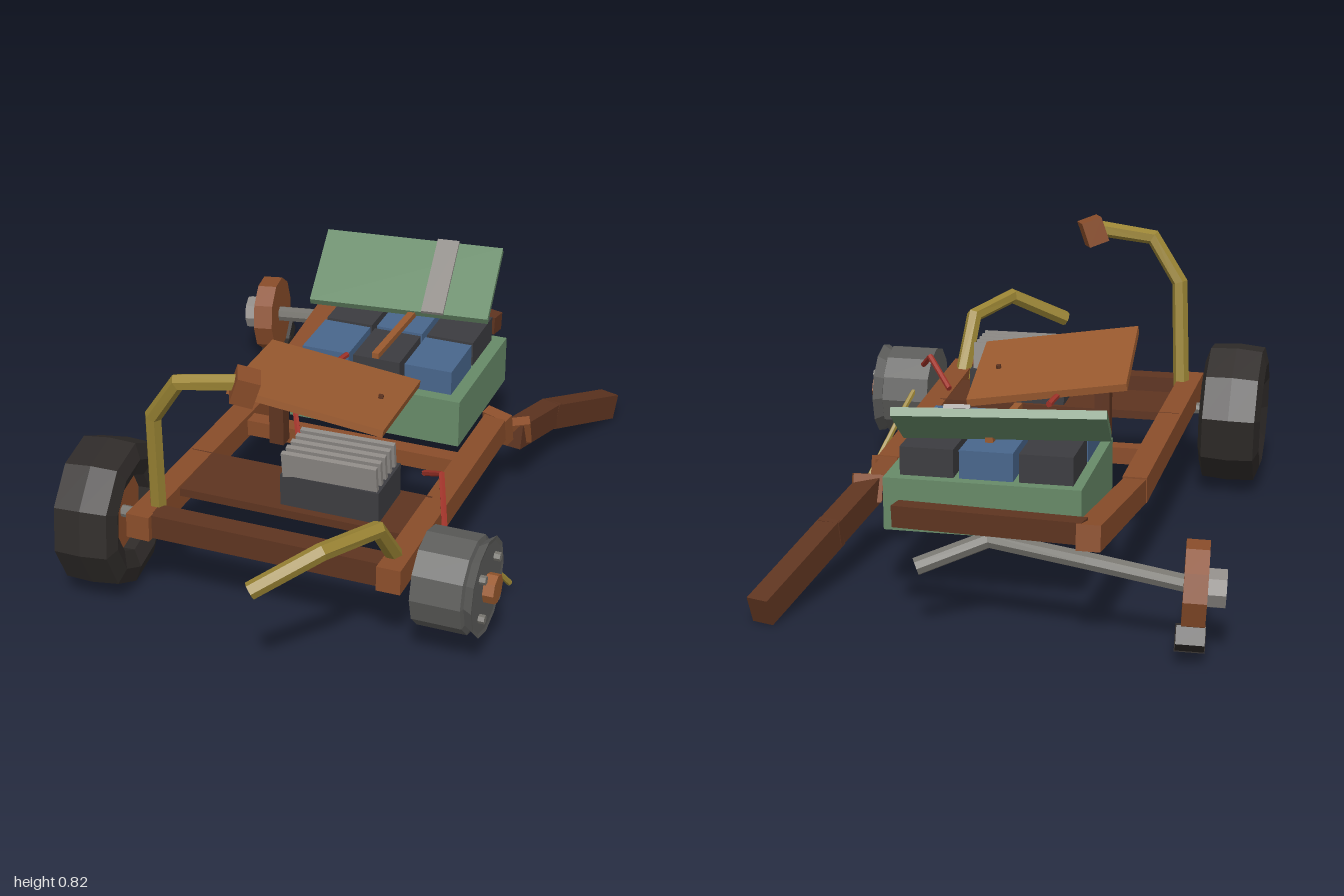
import * as THREE from 'three';
import { mergeGeometries } from 'three/addons/utils/BufferGeometryUtils.js';

const C = {
  wood: 0x8a4d2a, darkWood: 0x5e3420, plank: 0x9a5a2f, rubber: 0x2f2b29, iron: 0x5c5c5a, steel: 0x76746e,
  light: 0x8e8a86, gold: 0x9a8434, green: 0x678a68, blue: 0x48668c, dark: 0x3c3c40, red: 0xa03329,
};
const V = (p) => new THREE.Vector3(...p);

export function createModel() {
  const root = new THREE.Group();
  root.name = 'wreckedCart';
  const mats = {};
  const mat = (c) => (mats[c] ??= new THREE.MeshStandardMaterial({ color: C[c], flatShading: true, side: THREE.DoubleSide }));

  const add = (name, geo, color, pos = [0, 0, 0], rot = [0, 0, 0], parent = root) => {
    const m = new THREE.Mesh(geo, mat(color));
    m.name = name;
    m.position.set(...pos);
    m.rotation.set(...rot);
    parent.add(m);
    return m;
  };
  const box = (name, size, color, pos, rot, parent) =>
    add(name, new THREE.BoxGeometry(...size), color, pos, rot, parent);

  // Rectangular bar between two points
  const beam = (name, a, b, w, h, color) => {
    const p = V(a), q = V(b);
    const m = box(name, [w, h, p.distanceTo(q)], color, p.clone().add(q).multiplyScalar(0.5).toArray());
    m.lookAt(q);
    return m;
  };

  // Bent pipe with mitred corners and closed ends
  const pipe = (name, points, r, color, sides = 6) => {
    const pts = points.map(V), n = pts.length - 1;
    const dir = (i) => pts[i + 1].clone().sub(pts[i]).normalize();
    const at = (u) => Math.round(u * n);
    const curve = new THREE.Curve();
    curve.getPointAt = (u) => pts[at(u)].clone();
    curve.getTangentAt = (u) => {
      const i = at(u);
      return dir(Math.max(i - 1, 0)).add(dir(Math.min(i, n - 1))).normalize();
    };
    const tube = new THREE.TubeGeometry(curve, n, r, sides);
    const caps = [[pts[0], dir(0).negate()], [pts[n], dir(n - 1)]].map(([p, d]) => {
      const g = new THREE.CircleGeometry(r, sides);
      g.applyQuaternion(new THREE.Quaternion().setFromUnitVectors(new THREE.Vector3(0, 0, 1), d));
      return g.translate(p.x, p.y, p.z);
    });
    return add(name, mergeGeometries([tube, ...caps]), color);
  };

  // Disc or turned part whose axis runs along x; profile is [radius, x]
  const turned = (name, profile, sides, color, pos, rot, parent) => {
    const g = new THREE.LatheGeometry(profile.map((p) => new THREE.Vector2(...p)), sides);
    return add(name, g.rotateZ(-Math.PI / 2), color, pos, rot, parent);
  };
  const disc = (name, r, w, sides, color, pos, rot, parent) =>
    turned(name, [[0, -w / 2], [r, -w / 2], [r, w / 2], [0, w / 2]], sides, color, pos, rot, parent);

  // Frame: left and right named from the model's own side
  beam('rightRail', [-0.352, 0.288, 0.66], [-0.335, 0.257, -0.33], 0.07, 0.075, 'wood');
  beam('rightRailRear', [-0.335, 0.25, -0.3], [-0.325, 0.34, -0.97], 0.065, 0.07, 'wood');
  beam('leftRail', [0.395, 0.288, 0.66], [0.388, 0.257, -0.32], 0.07, 0.075, 'wood');
  beam('brokenRail', [0.43, 0.215, -0.34], [0.475, 0.165, -0.61], 0.065, 0.075, 'darkWood');
  beam('brokenRailTip', [0.472, 0.168, -0.59], [0.575, 0.05, -0.93], 0.065, 0.08, 'darkWood');
  box('railSplinter', [0.085, 0.1, 0.035], 'wood', [0.39, 0.252, -0.32], [0.25, -0.3, 0]);
  box('railSplinter', [0.085, 0.08, 0.035], 'wood', [0.437, 0.22, -0.365], [0.3, 0.4, 0]);
  box('frontCrossbar', [0.68, 0.073, 0.065], 'darkWood', [0.02, 0.288, 0.61]);
  box('middleCrossbar', [0.7, 0.05, 0.05], 'wood', [0.02, 0.265, -0.035]);
  beam('rearCrossbar', [-0.31, 0.345, -0.935], [0.22, 0.322, -0.84], 0.05, 0.06, 'darkWood');
  box('floorBoard', [0.75, 0.025, 0.22], 'darkWood', [0, 0.3, 0.35]);

  // Seat
  box('seatPost', [0.045, 0.2, 0.045], 'darkWood', [-0.172, 0.385, 0.06]);
  box('seat', [0.47, 0.022, 0.43], 'plank', [-0.025, 0.495, 0.057], [-0.14, 0.09, -0.13]);
  add('seatPeg', new THREE.CylinderGeometry(0.008, 0.008, 0.035, 6), 'darkWood', [0.14, 0.475, 0.04], [-0.14, 0, -0.13]);

  // Engine with cooling fins
  box('engineBlock', [0.295, 0.1, 0.18], 'dark', [0.135, 0.36, 0.345]);
  for (let i = 0; i < 5; i++)
    box('coolingFin', [0.28, 0.085, 0.016], 'light', [0.135, 0.445, 0.285 + i * 0.036], [0.15, 0.03, 0]);

  // Front axle, tyre and bare drum
  beam('frontAxle', [-0.5, 0.245, 0.53], [0.48, 0.245, 0.53], 0.001, 0.001, 'steel').geometry =
    new THREE.CylinderGeometry(0.018, 0.018, 0.98, 8).rotateX(Math.PI / 2);
  const wheel = new THREE.Group();
  wheel.name = 'tyreWheel';
  wheel.position.set(-0.503, 0.242, 0.53);
  wheel.rotation.set(0.15, 0.04, 0.03);
  root.add(wheel);
  turned('tyre', [[0.115, -0.075], [0.165, -0.095], [0.212, -0.08], [0.218, 0], [0.212, 0.08],
    [0.165, 0.095], [0.115, 0.075], [0.115, -0.075]], 10, 'rubber', undefined, undefined, wheel);
  disc('rim', 0.118, 0.08, 10, 'wood', undefined, undefined, wheel);

  const drum = new THREE.Group();
  drum.name = 'brakeDrum';
  drum.position.set(0.46, 0.25, 0.535);
  root.add(drum);
  turned('drumBody', [[0, 0], [0.14, 0], [0.14, 0.145], [0.125, 0.15], [0.143, 0.177], [0.13, 0.175], [0, 0.175]],
    12, 'iron', undefined, undefined, drum);
  disc('drumHub', 0.043, 0.05, 8, 'plank', [0.182, 0, 0], undefined, drum);
  for (const y of [-1, 1]) for (const z of [-1, 1])
    disc('wheelBolt', 0.013, 0.03, 6, 'steel', [0.178, y * 0.063, z * 0.063], undefined, drum);

  // Rear wheel with scraps of tyre, on a bent axle
  const rear = new THREE.Group();
  rear.name = 'rearWheel';
  rear.position.set(-0.59, 0.195, -0.878);
  rear.rotation.set(0, 0.13, 0.05);
  root.add(rear);
  disc('rearRim', 0.122, 0.062, 10, 'wood', undefined, undefined, rear);
  disc('rearHub', 0.054, 0.06, 8, 'light', [-0.05, 0, 0], undefined, rear);
  box('tyreScrap', [0.08, 0.05, 0.09], 'rubber', [0.005, -0.14, -0.01], [0.1, 0, 0], rear);
  box('tyreScrap', [0.075, 0.05, 0.08], 'rubber', [0.005, -0.115, -0.075], [0.6, 0, 0], rear);
  pipe('rearAxle', [[-0.6, 0.195, -0.875], [-0.3, 0.235, -0.855], [-0.03, 0.265, -0.83], [0.15, 0.2, -0.9]], 0.025, 'steel', 8);

  // Battery box, cells and torn-off lid
  box('batteryBox', [0.55, 0.15, 0.465], 'green', [0.025, 0.291, -0.443], [-0.01, 0, 0]);
  for (let r = 0; r < 2; r++) for (let c = 0; c < 3; c++)
    box('batteryCell', [0.15, 0.085, 0.19], (r + c) % 2 ? 'dark' : 'blue', [-0.147 + c * 0.166, 0.402, -0.345 - r * 0.205]);
  box('batteryClamp', [0.022, 0.018, 0.33], 'plank', [0.022, 0.457, -0.41], [0, -0.03, 0]);
  const lid = new THREE.Group();
  lid.name = 'batteryLid';
  lid.position.set(-0.032, 0.53, -0.66);
  lid.rotation.set(0.52, 0.11, -0.07);
  root.add(lid);
  box('lidPanel', [0.57, 0.024, 0.275], 'green', undefined, undefined, lid);
  box('lidStrap', [0.07, 0.012, 0.28], 'light', [0.11, 0.016, 0], undefined, lid);

  // Bent steering bars
  pipe('rightHandlebar', [[-0.33, 0.27, 0.565], [-0.312, 0.63, 0.612], [-0.222, 0.765, 0.637], [-0.05, 0.79, 0.62]], 0.025, 'gold');
  box('grip', [0.065, 0.08, 0.075], 'wood', [-0.032, 0.78, 0.62], [0.1, 0.4, -0.35]);
  pipe('leftHandlebar', [[0.382, 0.29, 0.55], [0.374, 0.465, 0.69], [0.29, 0.488, 0.88], [0.13, 0.393, 0.985]], 0.025, 'gold');

  // Loose cables and rod
  pipe('seatCable', [[-0.065, 0.458, -0.22], [-0.11, 0.483, 0.1], [-0.02, 0.365, 0.26]], 0.009, 'red');
  pipe('drumCable', [[0.335, 0.36, 0.2], [0.42, 0.43, 0.3], [0.49, 0.35, 0.47]], 0.009, 'red');
  pipe('brakeRod', [[0.6, 0.05, 0.2], [0.53, 0.22, 0.33], [0.49, 0.32, 0.46]], 0.009, 'gold');

  return root;
}
